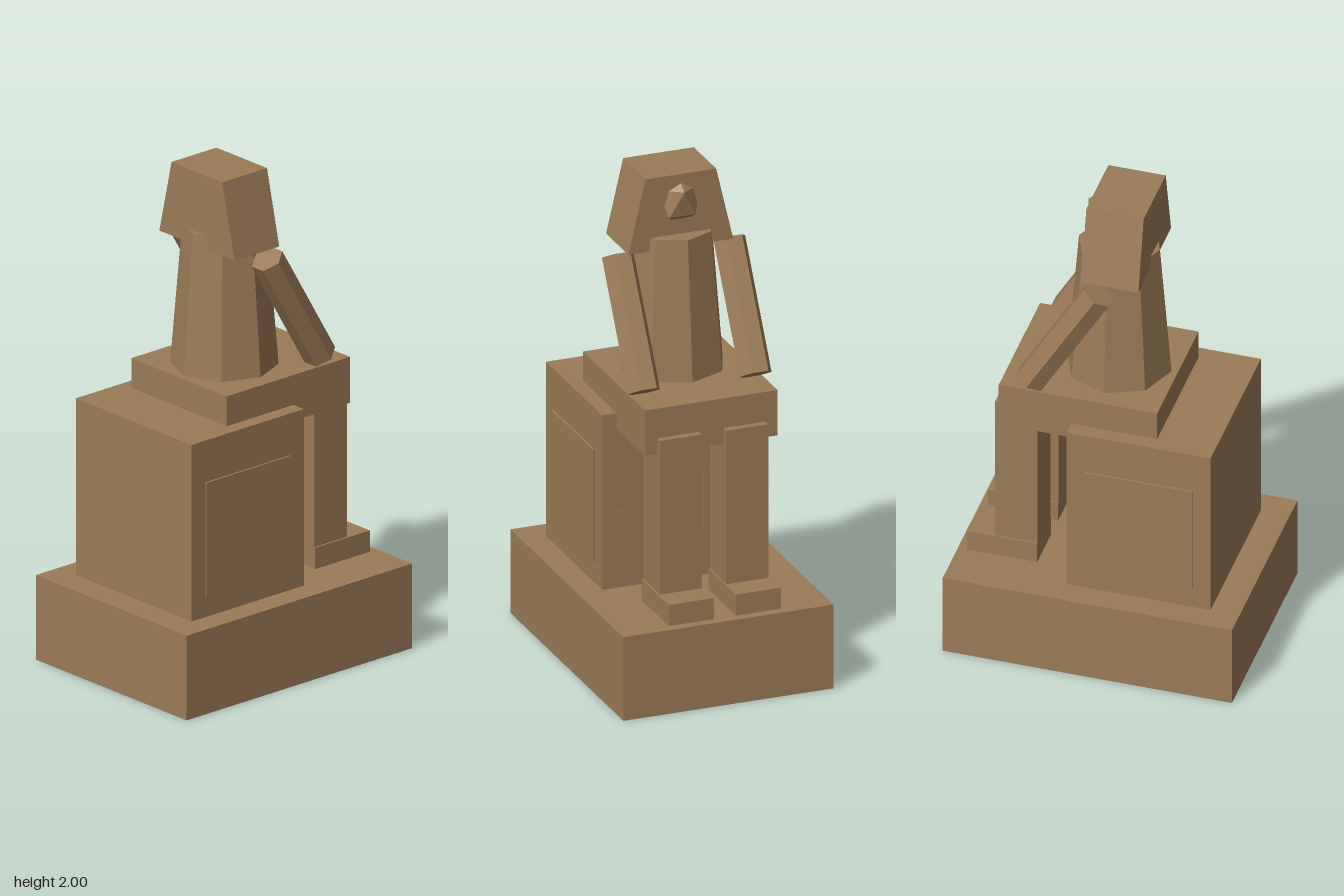
import * as THREE from 'three';

export function createModel() {
  const model = new THREE.Group();
  model.name = 'seatedStatue';
  const stone = new THREE.MeshStandardMaterial({ color: 0x9b7b58, flatShading: true });
  stone.name = 'sandstone';

  const add = (name, geometry, x = 0, y = 0, z = 0) => {
    const mesh = new THREE.Mesh(geometry, stone);
    mesh.name = name;
    mesh.position.set(x, y, z);
    model.add(mesh);
    return mesh;
  };
  // Box given by its limits on each axis
  const box = (name, x0, x1, y0, y1, z0, z1) =>
    add(name, new THREE.BoxGeometry(x1 - x0, y1 - y0, z1 - z0),
      (x0 + x1) / 2, (y0 + y1) / 2, (z0 + z1) / 2);

  // Plinth, throne and lap; the figure faces +x
  box('plinth', -0.575, 0.575, 0, 0.345, -0.431, 0.431);
  box('throne', -0.46, 0.112, 0.345, 1.065, -0.331, 0.331);
  box('lap', -0.23, 0.4, 1.0, 1.187, -0.272, 0.272);

  // Tapered eight-sided torso
  add('torso', new THREE.CylinderGeometry(0.161, 0.207, 0.57, 8), 0.002, 1.47, 0);

  // Headdress: trapezoid widening downwards
  const outline = new THREE.Shape([
    new THREE.Vector2(-0.215, 1.7), new THREE.Vector2(0.215, 1.7),
    new THREE.Vector2(0.145, 2), new THREE.Vector2(-0.145, 2),
  ]);
  const headdress = new THREE.ExtrudeGeometry(outline, { depth: 0.228, bevelEnabled: false });
  headdress.rotateY(Math.PI / 2);
  add('headdress', headdress, -0.138, 0, 0);

  // Faceted face standing on a vertex
  const face = new THREE.IcosahedronGeometry(0.102, 0);
  face.rotateZ(-Math.atan(2 / (1 + Math.sqrt(5))));
  face.scale(1, 1.13, 1);
  add('face', face, 0.035, 1.885, 0);

  // Paired parts
  for (const side of [1, -1]) {
    const pair = (name, x0, x1, y0, y1, z0, z1) =>
      box(name, x0, x1, y0, y1, Math.min(side * z0, side * z1), Math.max(side * z0, side * z1));
    pair('leg', 0.26, 0.43, 0.345, 1.065, 0.051, 0.222);
    pair('foot', 0.26, 0.538, 0.345, 0.432, 0.045, 0.23);
    pair('sidePanel', -0.39, 0.038, 0.432, 0.895, 0.33, 0.339);
    // Narrow carved strips on the throne front
    pair('innerStrip', 0.111, 0.117, 0.535, 0.78, 0.085, 0.095);
    pair('outerStrip', 0.111, 0.117, 0.49, 0.66, 0.259, 0.269);

    const arm = add('arm', new THREE.CylinderGeometry(0.065, 0.065, 0.532, 6), 0.15, 1.443, side * 0.229);
    arm.rotation.z = 0.53;
  }
  return model;
}
